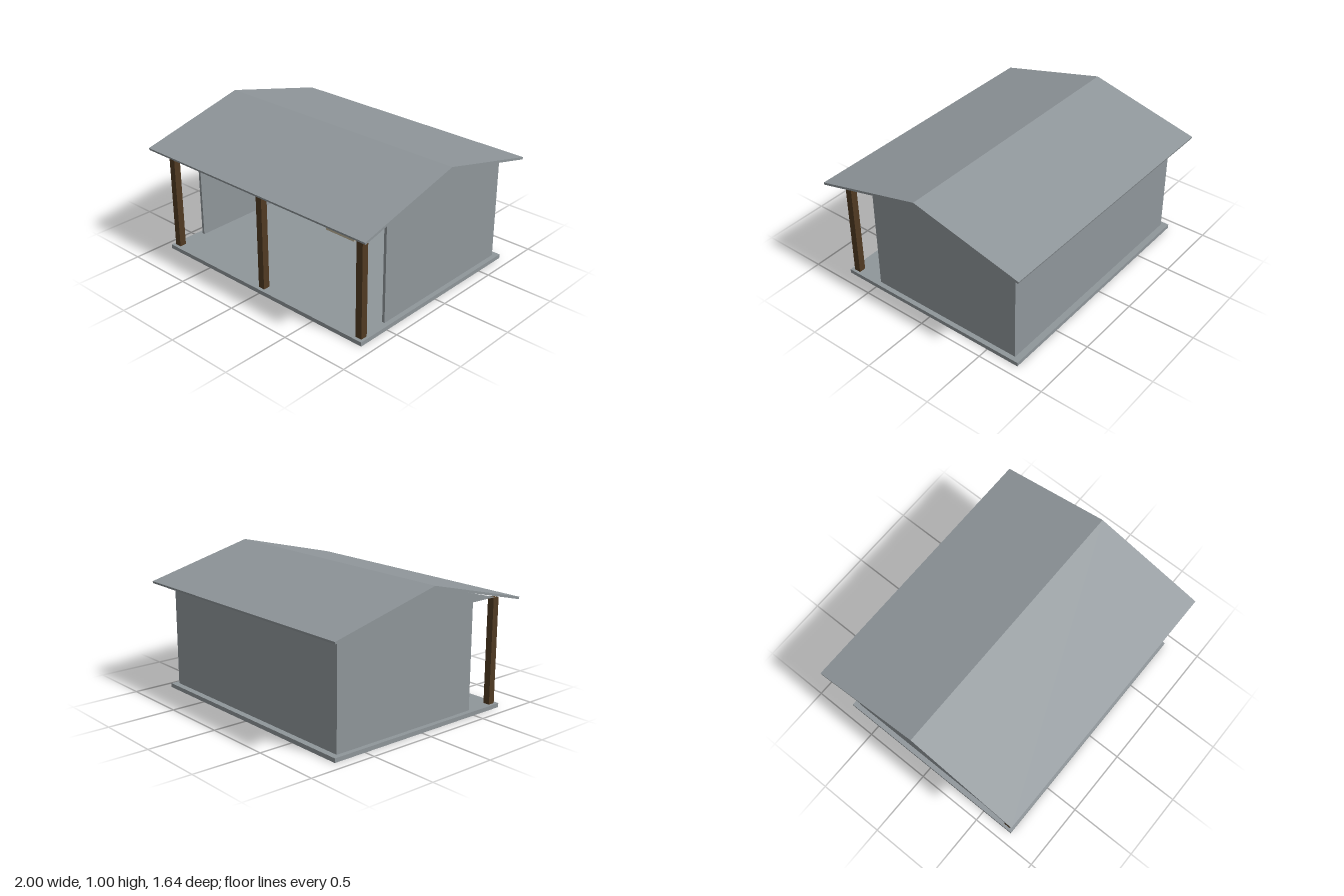
import * as THREE from 'three';

export function createModel() {
  const model = new THREE.Group();
  const mat = (name, color) => {
    const m = new THREE.MeshStandardMaterial({ color });
    m.name = name;
    return m;
  };
  const grey = mat('grey concrete', 0x8f969a);
  const wood = mat('dark wood', 0x503a22);
  const pale = mat('pale crate wood', 0xbcb196);
  const blue = mat('blue paint', 0x2a50a0);
  const red = mat('red paint', 0xb02a20);

  const add = (name, geometry, material, x = 0, y = 0, z = 0, parent = model) => {
    const mesh = new THREE.Mesh(geometry, material);
    mesh.name = name;
    mesh.position.set(x, y, z);
    parent.add(mesh);
    return mesh;
  };
  // Box given by its limits on each axis
  const box = (name, material, [x0, x1], [y0, y1], [z0, z1], parent = model) =>
    add(name, new THREE.BoxGeometry(x1 - x0, y1 - y0, z1 - z0), material,
      (x0 + x1) / 2, (y0 + y1) / 2, (z0 + z1) / 2, parent);
  // Profile of [z, y] points extruded along x, centred on cx
  const extrudeX = (name, points, width, cx) => {
    const shape = new THREE.Shape(points.map(([z, y]) => new THREE.Vector2(-z, y)));
    const geo = new THREE.ExtrudeGeometry(shape, { depth: width, bevelEnabled: false });
    geo.translate(0, 0, -width / 2).rotateY(Math.PI / 2);
    return add(name, geo, grey, cx);
  };

  // Floor, walls and gables
  box('floorSlab', grey, [-0.92, 0.92], [0, 0.03], [-0.75, 0.75]);
  box('backWall', grey, [-0.865, 0.865], [0.03, 0.79], [-0.705, -0.685]);
  for (const s of [-1, 1]) {
    const side = s < 0 ? 'right' : 'left';
    add(side + 'Wall', new THREE.BoxGeometry(0.02, 0.76, 1.19), grey, s * 0.875, 0.41, -0.11);
    extrudeX(side + 'Gable', [[-0.705, 0.79], [0.705, 0.79], [0, 0.983]], 0.02, s * 0.875);
  }

  // Pitched roof
  extrudeX('roof', [[0, 1], [-0.82, 0.796], [-0.815, 0.78], [0, 0.983], [0.815, 0.78], [0.82, 0.796]], 2, 0);

  // Front posts
  for (const x of [-0.875, 0, 0.875]) box('frontPost', wood, [x - 0.025, x + 0.025], [0, 0.79], [0.675, 0.725]);

  // Bench
  const bench = new THREE.Group();
  bench.name = 'bench';
  model.add(bench);
  box('benchTop', wood, [-0.825, -0.325], [0.17, 0.2], [-0.53, -0.36], bench);
  for (const x of [-0.79, -0.36]) box('benchLeg', wood, [x - 0.01, x + 0.01], [0, 0.17], [-0.455, -0.435], bench);

  // Crate
  box('crate', pale, [-0.25, 0.03], [0.03, 0.25], [-0.4, -0.18]);

  // Twelve-sided barrels with two hoops each
  const barrel = (name, material, x, z) => {
    const group = new THREE.Group();
    group.name = name;
    group.position.set(x, 0.03, z);
    group.rotation.y = Math.PI / 12;
    model.add(group);
    const drum = (r, h) => new THREE.CylinderGeometry(r, r, h, 12).toNonIndexed();
    const put = (part, r, h, m, y) => {
      const geo = drum(r, h);
      geo.computeVertexNormals();
      add(part, geo, m, 0, y, 0, group);
    };
    put('barrelBody', 0.125, 0.26, material, 0.13);
    for (const y of [0.033, 0.217]) put('barrelHoop', 0.13, 0.012, wood, y);
  };
  barrel('blueBarrel', blue, 0.604, -0.28);
  barrel('redBarrel', red, 0.69, -0.53);

  return model;
}
